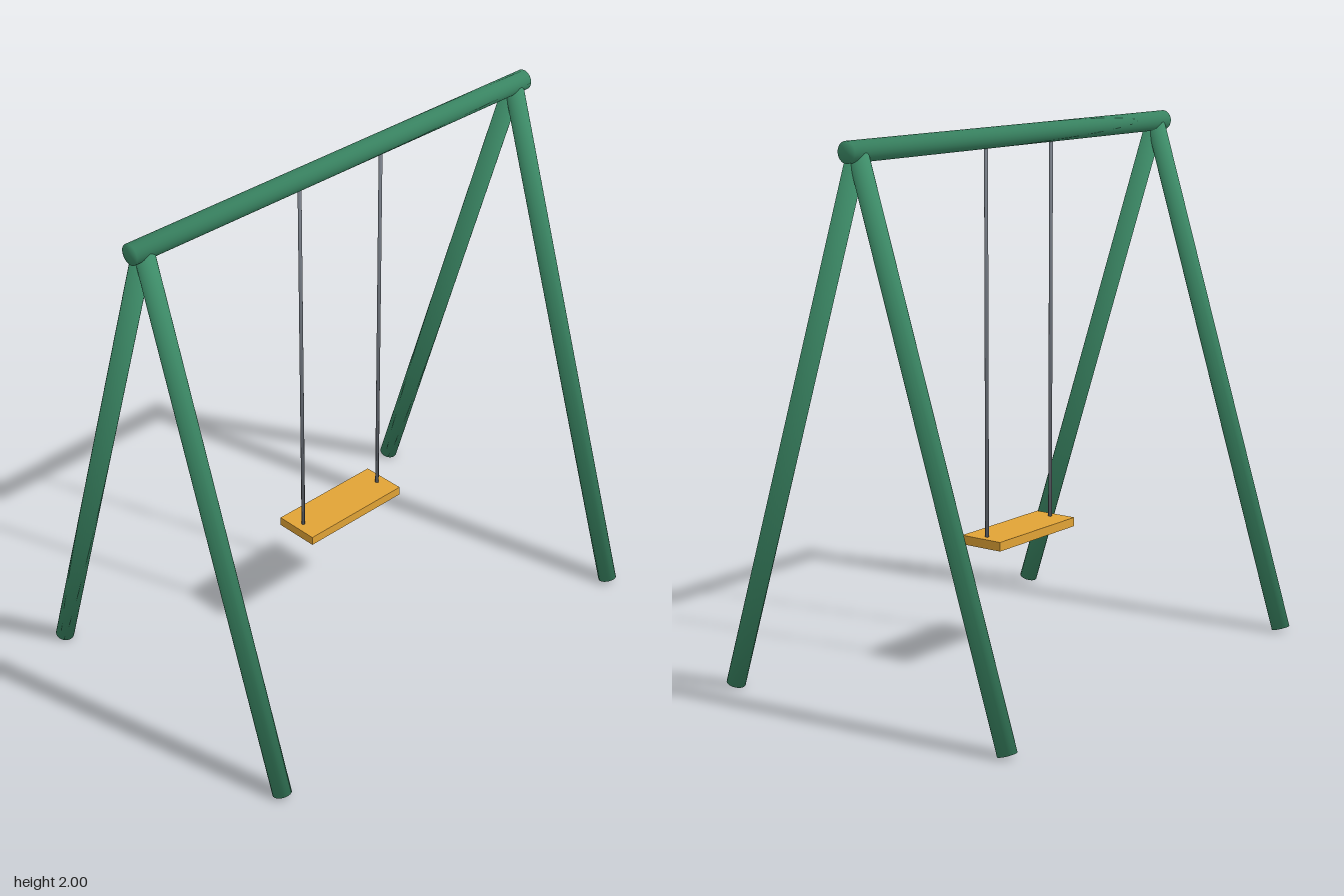
import * as THREE from 'three';

const green = new THREE.MeshStandardMaterial({ color: 0x3d8c68 });
green.name = 'green paint';
const wood = new THREE.MeshStandardMaterial({ color: 0xe2a436 });
wood.name = 'golden wood';
const steel = new THREE.MeshStandardMaterial({ color: 0x757b84 });
steel.name = 'grey steel';

// Round bar between two points, shaded smoothly over its end caps
function bar(name, from, to, radius, material, sides = 24) {
  const a = new THREE.Vector3(...from);
  const b = new THREE.Vector3(...to);
  const dir = b.clone().sub(a);
  const geometry = new THREE.CylinderGeometry(radius, radius, dir.length(), sides);
  const { position, normal } = geometry.attributes;
  const n = new THREE.Vector3();
  for (let i = 0; i < position.count; i++) {
    n.set(position.getX(i) / radius, Math.sign(position.getY(i)), position.getZ(i) / radius).normalize();
    normal.setXYZ(i, n.x, n.y, n.z);
  }
  const mesh = new THREE.Mesh(geometry, material);
  mesh.name = name;
  mesh.position.copy(a).add(b).multiplyScalar(0.5);
  mesh.quaternion.setFromUnitVectors(new THREE.Vector3(0, 1, 0), dir.normalize());
  return mesh;
}

export function createModel() {
  const model = new THREE.Group();
  model.name = 'swingSet';
  const beamY = 1.962;

  // Frame: top beam and two A-shaped pairs of legs
  const frame = new THREE.Group();
  frame.name = 'frame';
  frame.add(bar('topBeam', [-0.94, beamY, 0], [0.94, beamY, 0], 0.038, green));
  for (const [side, x] of [['left', 0.885], ['right', -0.885]]) {
    for (const [end, z] of [['Front', 0.617], ['Back', -0.617]]) {
      frame.add(bar(`${side}${end}Leg`, [x, 0.01, z], [x, beamY, 0], 0.035, green));
    }
  }

  // Swing: seat board hung on two thin rods
  const swing = new THREE.Group();
  swing.name = 'swing';
  const seat = new THREE.Mesh(new THREE.BoxGeometry(0.462, 0.034, 0.174), wood);
  seat.name = 'seat';
  seat.position.y = 0.491;
  swing.add(seat);
  for (const [side, x] of [['left', 0.195], ['right', -0.195]]) {
    swing.add(bar(`${side}Hanger`, [x, 0.5, 0], [x, beamY, 0], 0.007, steel, 12));
  }

  model.add(frame, swing);
  return model;
}
